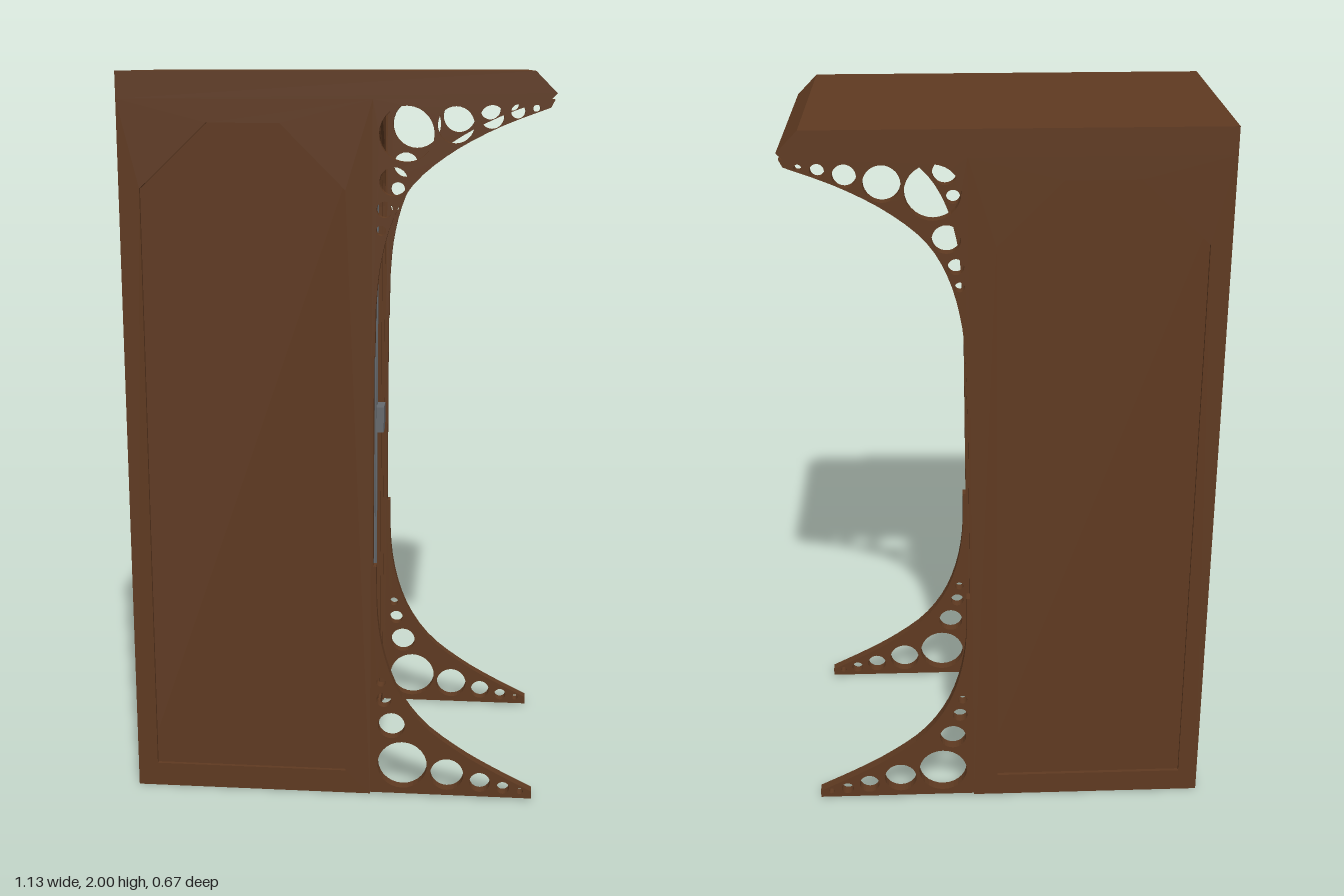
import * as THREE from 'three';

const wood = new THREE.MeshStandardMaterial({ color: 0x5f3a21 });
wood.name = 'brown wood';
const steel = new THREE.MeshStandardMaterial({ color: 0x666a6e });
steel.name = 'grey steel';

const shapeOf = (pts) => new THREE.Shape(pts.map(([x, y]) => new THREE.Vector2(x, y)));

function circleHole(shape, [x, y, r]) {
  const hole = new THREE.Path();
  hole.absarc(x, y, r, 0, Math.PI * 2, true);
  shape.holes.push(hole);
}

// Upright rectangle with a round-arched top
function arch(target, r, bottom, spring) {
  target.moveTo(-r, bottom);
  target.lineTo(r, bottom);
  target.lineTo(r, spring);
  target.absarc(0, spring, r, 0, Math.PI, false);
  target.lineTo(-r, bottom);
  return target;
}

const extrude = (shape, depth) =>
  new THREE.ExtrudeGeometry(shape, { depth, bevelEnabled: false, curveSegments: 14 });

export function createModel() {
  const model = new THREE.Group();
  model.name = 'barredCabinet';

  const add = (name, geometry, material = wood) => {
    const mesh = new THREE.Mesh(geometry, material);
    mesh.name = name;
    model.add(mesh);
    return mesh;
  };
  // Box from its minimum and maximum corners
  const box = (name, a, b, material) => {
    const mesh = add(name, new THREE.BoxGeometry(b[0] - a[0], b[1] - a[1], b[2] - a[2]), material);
    mesh.position.set((a[0] + b[0]) / 2, (a[1] + b[1]) / 2, (a[2] + b[2]) / 2);
  };
  // Shape drawn in z and y, extruded towards +x
  const facing = (name, shape, x, depth) =>
    add(name, extrude(shape, depth).rotateY(Math.PI / 2).translate(x, 0, 0));

  // Closed back, floor and threshold
  box('backWall', [-0.565, 0, -0.305], [-0.535, 1.93, 0.305]);
  box('floor', [-0.535, 0, -0.305], [0.095, 0.04, 0.305]);

  // Roof slab with a sloping overhanging edge
  const roof = shapeOf([[-0.565, 1.93], [0.55, 1.93], [0.565, 1.945], [0.51, 2], [-0.565, 2]]);
  add('roof', extrude(roof, 0.67).translate(0, 0, -0.335));

  // Side walls: outer skin with a cut-out over a full inner wall
  const panel = [[-0.51, 0.068], [-0.51, 1.7], [-0.33, 1.87], [-0.14, 1.87], [0.03, 1.7], [0.03, 0.068]];
  const skin = shapeOf([[-0.565, 0], [0.1, 0], [0.1, 1.93], [-0.565, 1.93]]);
  skin.holes.push(new THREE.Path(panel.map(([x, y]) => new THREE.Vector2(x, y))));

  // Curved brackets with graded round holes
  const upperCurve = new THREE.SplineCurve([
    [0.11, 1.39], [0.12, 1.5], [0.15, 1.617], [0.205, 1.715], [0.3, 1.795], [0.42, 1.86], [0.55, 1.91],
  ].map(([x, y]) => new THREE.Vector2(x, y))).getPoints(20);
  const upper = new THREE.Shape([
    new THREE.Vector2(0.1, 1.93), new THREE.Vector2(0.1, 1.26), new THREE.Vector2(0.108, 1.26),
    ...upperCurve, new THREE.Vector2(0.56, 1.93),
  ]);
  [[0.187, 1.843, 0.071], [0.312, 1.866, 0.047], [0.403, 1.886, 0.03], [0.468, 1.9, 0.018],
    [0.514, 1.908, 0.009], [0.155, 1.723, 0.037], [0.132, 1.651, 0.021], [0.123, 1.597, 0.013],
  ].forEach((h) => circleHole(upper, h));

  const lowerCurve = new THREE.SplineCurve([
    [0.555, 0.027], [0.45, 0.08], [0.35, 0.138], [0.25, 0.215], [0.18, 0.31], [0.138, 0.42], [0.118, 0.54], [0.115, 0.68],
  ].map(([x, y]) => new THREE.Vector2(x, y))).getPoints(20);
  const lower = new THREE.Shape([
    new THREE.Vector2(0.1, 0.68), new THREE.Vector2(0.1, 0.005), new THREE.Vector2(0.555, 0.005), ...lowerCurve,
  ]);
  [[0.191, 0.092, 0.07], [0.317, 0.068, 0.047], [0.41, 0.048, 0.029], [0.475, 0.034, 0.018],
    [0.523, 0.026, 0.009], [0.16, 0.211, 0.038], [0.138, 0.288, 0.021], [0.13, 0.341, 0.013],
  ].forEach((h) => circleHole(lower, h));

  for (const [side, s] of [['left', 1], ['right', -1]]) {
    const z = (inner, depth) => (s > 0 ? inner : -inner - depth);
    add(side + 'OuterWall', extrude(skin, 0.01).translate(0, 0, z(0.325, 0.01)));
    add(side + 'InnerWall', new THREE.BoxGeometry(0.665, 1.93, 0.02).translate(-0.2325, 0.965, s * 0.315));
    add(side + 'FrontStrip', new THREE.BoxGeometry(0.006, 1.22, 0.03).translate(0.103, 0.65, s * 0.32));
    add(side + 'UpperBracket', extrude(upper, 0.03).translate(0, 0, z(0.305, 0.03)));
    add(side + 'LowerBracket', extrude(lower, 0.03).translate(0, 0, z(0.305, 0.03)));
  }

  // Arched doorway and the slimmer door frame set into it
  const doorway = shapeOf([[-0.305, 0.04], [0.305, 0.04], [0.305, 1.93], [-0.305, 1.93]]);
  doorway.holes.push(arch(new THREE.Path(), 0.298, 0.045, 1.602));
  facing('doorway', doorway, 0.06, 0.035);
  const frame = arch(new THREE.Shape(), 0.298, 0.045, 1.602);
  frame.holes.push(arch(new THREE.Path(), 0.28, 0.065, 1.6));
  facing('doorFrame', frame, 0.06, 0.027);

  // Round bars following the arch height
  for (let i = 0; i < 8; i++) {
    const z = (i - 3.5) * 0.0685;
    const top = 1.602 + Math.sqrt(0.288 ** 2 - z * z);
    const bar = add('bar', new THREE.CylinderGeometry(0.006, 0.006, top - 0.055, 8), steel);
    bar.position.set(0.073, (top + 0.055) / 2, z);
  }

  // Lock plate on the door's edge
  box('lock', [0.05, 0.925, -0.275], [0.1, 1.003, -0.2], steel);

  return model;
}
